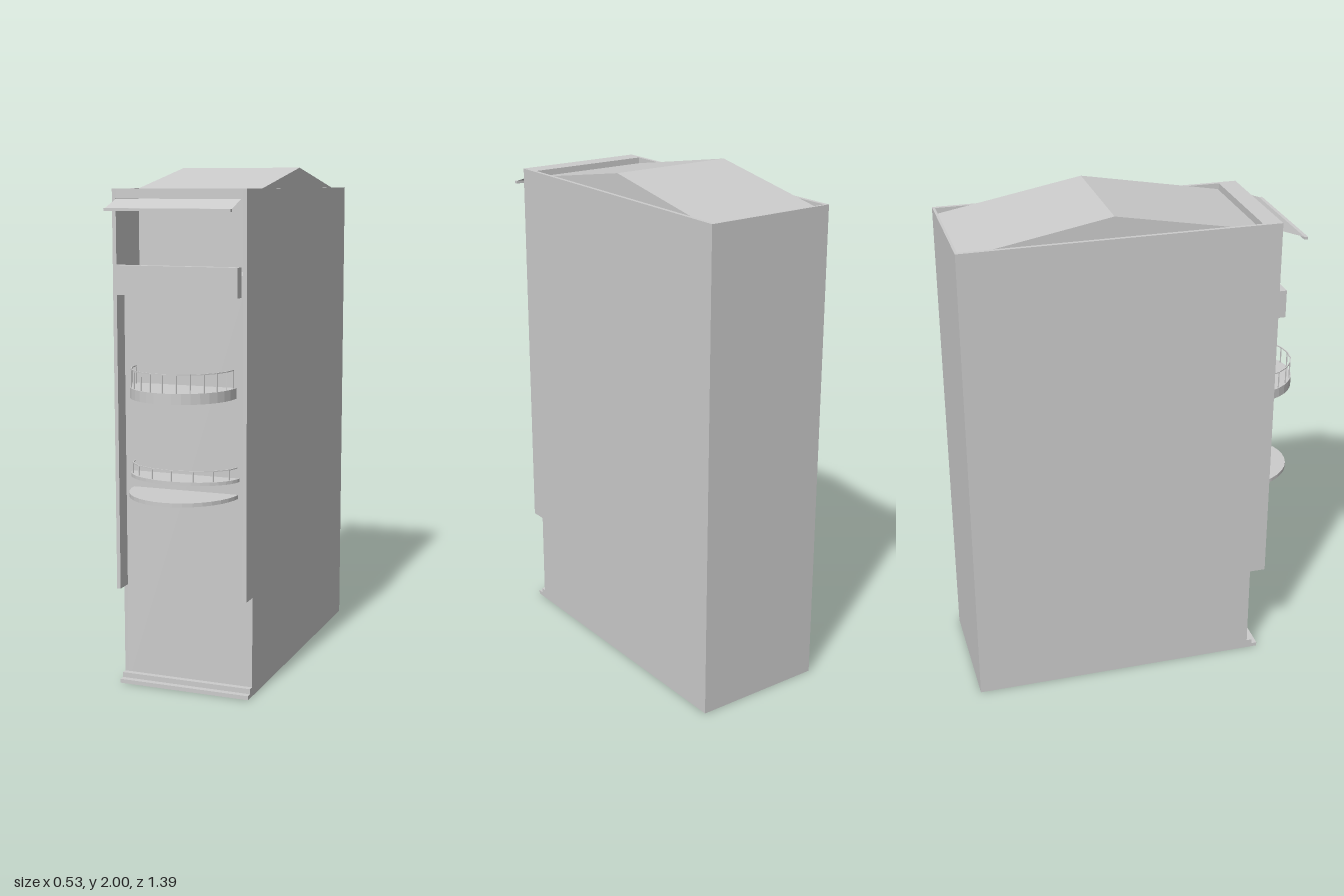
import * as THREE from 'three';

const mat = new THREE.MeshStandardMaterial({ color: 0xcccccc, flatShading: true, side: THREE.DoubleSide });
const HALF = 0.267, SKIN = 0.015, INNER = HALF - SKIN;
const BACK = -0.695, WALL = 0.47, FRONT = 0.535, TOP = 1.92;

function add(parent, name, geometry) {
  const mesh = new THREE.Mesh(geometry, mat);
  mesh.name = name;
  parent.add(mesh);
  return mesh;
}

// Box given by its limits on each axis
function block(parent, name, x0, x1, y0, y1, z0, z1) {
  const mesh = add(parent, name, new THREE.BoxGeometry(x1 - x0, y1 - y0, z1 - z0));
  mesh.position.set((x0 + x1) / 2, (y0 + y1) / 2, (z0 + z1) / 2);
  return mesh;
}

// Profile of [z, y] points extruded from x0 to x1
function profile(parent, name, points, x0, x1) {
  const shape = new THREE.Shape(points.map(([z, y]) => new THREE.Vector2(-z, y)));
  const geo = new THREE.ExtrudeGeometry(shape, { depth: x1 - x0, bevelEnabled: false });
  geo.rotateY(Math.PI / 2);
  geo.translate(x0, 0, 0);
  return add(parent, name, geo);
}

// Points [x, z] along half an ellipse bulging to the front
function arc(cx, cz, rx, rz, n) {
  return Array.from({ length: n + 1 }, (_, i) => {
    const a = Math.PI * i / n;
    return [cx + rx * Math.cos(a), cz + rz * Math.sin(a)];
  });
}

// Half-round slab against the wall
function halfRound(parent, name, pts, y0, y1) {
  const outline = [...pts, [pts[pts.length - 1][0], 0.46], [pts[0][0], 0.46]];
  const shape = new THREE.Shape(outline.map(([x, z]) => new THREE.Vector2(x, -z)));
  const geo = new THREE.ExtrudeGeometry(shape, { depth: y1 - y0, bevelEnabled: false });
  geo.rotateX(-Math.PI / 2);
  geo.translate(0, y0, 0);
  return add(parent, name, geo);
}

// Thin posts with a handrail joining their tops
function railing(parent, pts, y0, y1) {
  const rail = new THREE.Group();
  rail.name = 'railing';
  const t = 0.002;
  pts.forEach(([x, z], i) => {
    block(rail, 'railPost', x - t, x + t, y0, y1, z - t, z + t);
    if (i === 0) return;
    const [px, pz] = pts[i - 1];
    const bar = add(rail, 'handrail', new THREE.BoxGeometry(2 * t, 2 * t, Math.hypot(x - px, z - pz)));
    bar.position.set((x + px) / 2, y1 - t, (z + pz) / 2);
    bar.rotation.y = Math.atan2(x - px, z - pz);
  });
  parent.add(rail);
}

export function createModel() {
  const model = new THREE.Group();
  model.name = 'townhouse';

  // Shell, open underneath; the side walls run forward as narrow pilasters
  const side = [[BACK, 0], [WALL, 0], [WALL, 0.39], [FRONT, 0.39], [FRONT, TOP], [BACK, TOP]];
  profile(model, 'leftWall', side, INNER, HALF);
  profile(model, 'rightWall', side, -HALF, -INNER);
  block(model, 'backWall', -INNER, INNER, 0, TOP, BACK, BACK + 0.01);
  block(model, 'frontWall', -INNER, INNER, 0, 1.61, WALL - 0.012, WALL);
  block(model, 'fascia', -INNER, INNER, 1.885, TOP, 0.46, FRONT);

  // Gabled roof behind the parapet
  block(model, 'roofGutter', -INNER, INNER, 1.885, 1.89, BACK + 0.01, 0.46);
  profile(model, 'roof', [[-0.68, 1.89], [0.455, 1.89], [0.455, 1.897], [-0.11, 2], [-0.68, 1.897]], -0.251, 0.251);

  // Recessed loggia under the fascia with its parapet
  block(model, 'loggiaFloor', -INNER, INNER, 1.6, 1.61, 0.33, FRONT);
  block(model, 'loggiaBack', -INNER, INNER, 1.6, 1.886, 0.32, 0.33);
  block(model, 'loggiaParapet', -0.248, 0.245, 1.53, 1.64, FRONT, 0.572);

  // Sloping awning sheet and its lip
  const awning = add(model, 'awning', new THREE.PlaneGeometry(0.494, Math.hypot(0.1, 0.035)));
  awning.position.set(-0.002, 1.8655, 0.587);
  awning.rotation.x = -Math.atan2(0.1, 0.035);
  block(model, 'awningLip', -0.249, 0.245, 1.84, 1.85, 0.63, 0.645);

  // Upper balcony
  const upper = new THREE.Group();
  upper.name = 'upperBalcony';
  halfRound(upper, 'balconyFloor', arc(0, 0.49, 0.202, 0.207, 18), 1.15, 1.19);
  railing(upper, arc(0, 0.49, 0.197, 0.202, 12), 1.19, 1.26);
  model.add(upper);

  // Lower, shallower balcony
  const lower = new THREE.Group();
  lower.name = 'lowerBalcony';
  halfRound(lower, 'balconyFloor', arc(-0.005, 0.46, 0.22, 0.152, 18), 0.835, 0.848);
  railing(lower, arc(-0.005, 0.46, 0.213, 0.147, 8), 0.848, 0.89);
  model.add(lower);

  // Curved canopy over the entrance
  halfRound(model, 'entranceCanopy', arc(-0.005, 0.46, 0.215, 0.232, 18), 0.77, 0.785);

  // Two plinth steps at the foot
  block(model, 'lowerStep', -HALF, HALF, 0, 0.016, 0.46, 0.515);
  block(model, 'upperStep', -HALF, HALF, 0.016, 0.036, 0.46, 0.492);

  return model;
}
